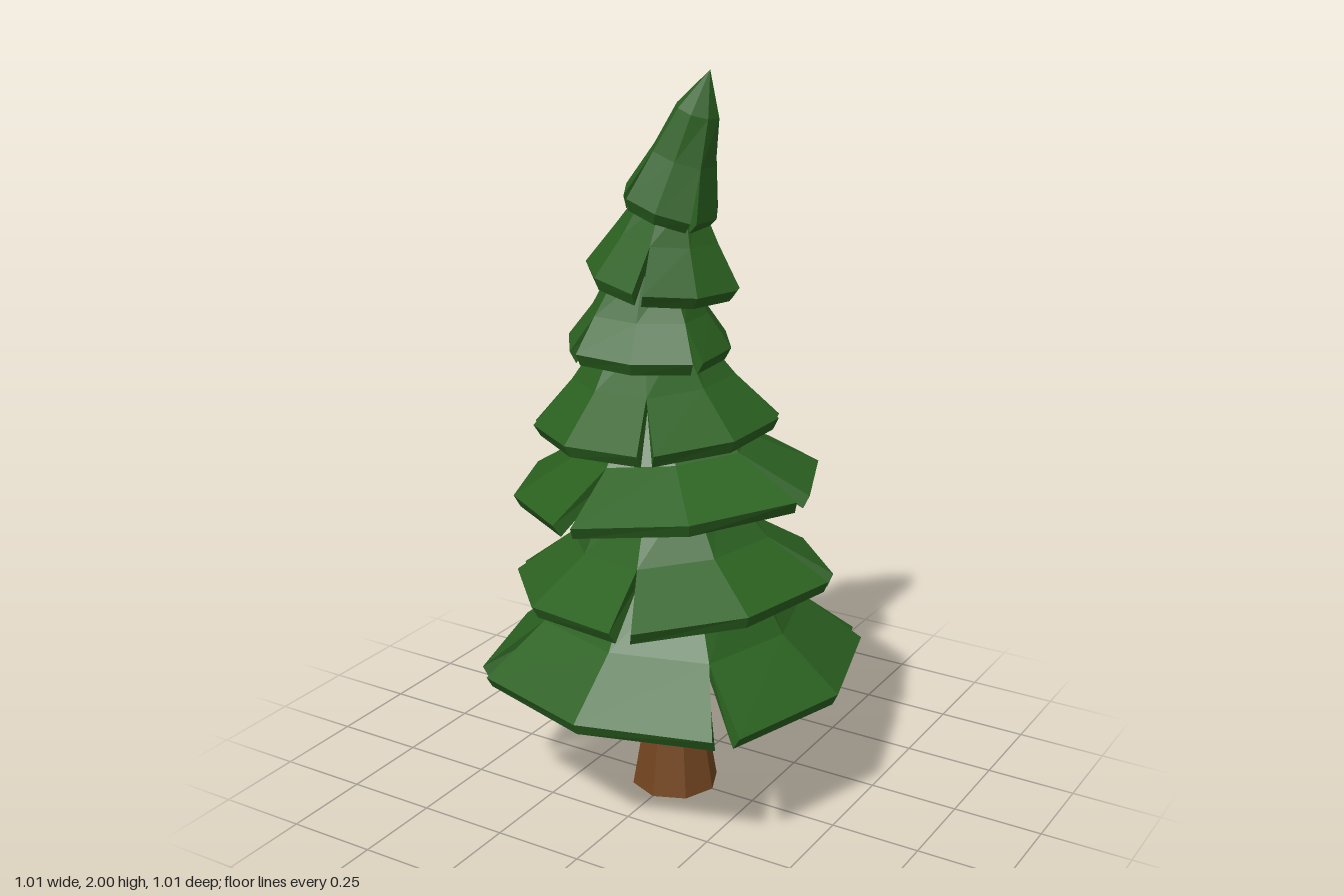
import * as THREE from 'three';

const needles = new THREE.MeshStandardMaterial({ color: 0x2b6120, flatShading: true });
needles.name = 'pineGreen';
const bark = new THREE.MeshStandardMaterial({ color: 0x734620, flatShading: true, side: THREE.DoubleSide });
bark.name = 'barkBrown';

const rad = THREE.MathUtils.degToRad;
const THICKNESS = 0.033;
const INSET = 0.016;

// Hollow skirt of four panels, slit at the corners between rim and second ring.
// profile: [radius, height] rings from the rim up; turn: angle of the first slit from +z.
function skirtGeometry(profile, turn) {
  const pos = [];
  // under: point on the inner face, which is lower and slightly narrower
  const point = (ring, panel, step, under) => {
    const [radius, h] = profile[ring];
    const r = under ? Math.max(radius - INSET, 0) : radius;
    const corner = step !== 1;
    let a = turn + panel * 90 + step * 45;
    let f = 1;
    if (ring === 0 && corner) {
      const gap = under ? 2.6 : 3.8;
      a += step === 0 ? gap : -gap;
      f = 1.06;
    } else if (ring === 1 && corner) f = 1.09;
    return [r * f * Math.sin(rad(a)), h - (under ? THICKNESS : 0), r * f * Math.cos(rad(a))];
  };
  const quad = (a, b, c, d) => pos.push(...a, ...b, ...c, ...a, ...c, ...d);

  for (let p = 0; p < 4; p++) {
    for (let s = 0; s < 2; s++) {
      for (let k = 0; k < profile.length - 1; k++) {
        // outer and inner faces
        quad(point(k, p, s), point(k, p, s + 1), point(k + 1, p, s + 1), point(k + 1, p, s));
        quad(point(k, p, s + 1, true), point(k, p, s, true), point(k + 1, p, s, true), point(k + 1, p, s + 1, true));
      }
      // rim edge
      quad(point(0, p, s, true), point(0, p, s + 1, true), point(0, p, s + 1), point(0, p, s));
    }
    // slit edges
    quad(point(0, p, 0, true), point(0, p, 0), point(1, p, 0), point(1, p, 0, true));
    quad(point(0, p, 2), point(0, p, 2, true), point(1, p, 2, true), point(1, p, 2));
  }
  const g = new THREE.BufferGeometry();
  g.setAttribute('position', new THREE.Float32BufferAttribute(pos, 3));
  g.computeVertexNormals();
  return g;
}

// Branch tiers from bottom to top
const tiers = [
  { x: 0, y: 0.395, tilt: 0, turn: 45, profile: [[0.503, 0], [0.335, 0.135], [0.2, 0.35]] },
  { x: -0.01, y: 0.635, tilt: 0.085, turn: 14, profile: [[0.42, 0], [0.255, 0.11], [0.15, 0.28]] },
  { x: -0.025, y: 0.905, tilt: 0.09, turn: -6, profile: [[0.415, 0], [0.225, 0.1], [0.14, 0.22]] },
  { x: -0.06, y: 1.065, tilt: 0.06, turn: 27, profile: [[0.31, 0], [0.2, 0.12], [0.12, 0.25]] },
  { x: -0.08, y: 1.28, tilt: -0.03, turn: -26, profile: [[0.22, 0], [0.155, 0.09], [0.1, 0.2]] },
  { x: -0.04, y: 1.465, tilt: -0.125, turn: 14, profile: [[0.195, 0], [0.128, 0.11], [0.08, 0.21]] },
  { x: -0.012, y: 1.66, tilt: -0.32, turn: -32, profile: [[0.127, 0], [0.085, 0.13], [0.058, 0.25], [0, 0.358]] },
];

export function createModel() {
  const tree = new THREE.Group();
  tree.name = 'pineTree';

  // Flared trunk, open at the bottom
  const outline = [[0.122, 0], [0.088, 0.2], [0.06, 0.37], [0.042, 0.7], [0.028, 1.4]];
  const trunk = new THREE.Mesh(
    new THREE.LatheGeometry(outline.map(([r, y]) => new THREE.Vector2(r, y)), 8), bark);
  trunk.name = 'trunk';
  tree.add(trunk);

  tiers.forEach(({ x, y, tilt, turn, profile }, i) => {
    const tier = new THREE.Mesh(skirtGeometry(profile, turn), needles);
    tier.name = i === tiers.length - 1 ? 'treeTop' : `branchTier${i + 1}`;
    tier.position.set(x, y, 0);
    tier.rotation.z = tilt;
    tree.add(tier);
  });
  return tree;
}
